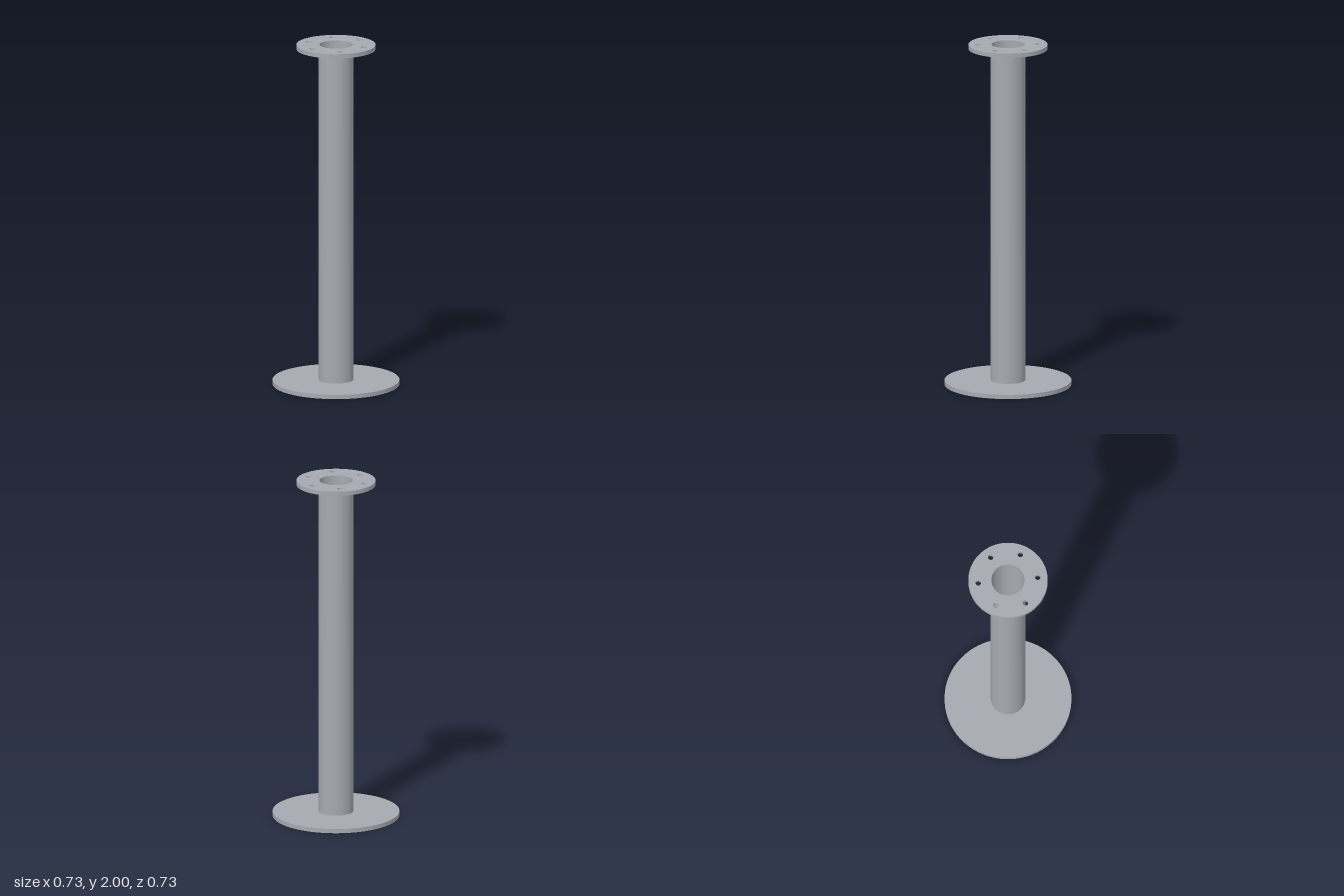
import * as THREE from 'three';
import { toCreasedNormals } from 'three/addons/utils/BufferGeometryUtils.js';

const SEGMENTS = 48;

function circlePath(PathType, x, y, radius) {
  return new PathType().absarc(x, y, radius, 0, Math.PI * 2, false);
}

// Round plate or pipe standing on y, with round holes [x, z, radius] through it
function roundPart(name, radius, y, height, holes, material) {
  const shape = circlePath(THREE.Shape, 0, 0, radius);
  shape.holes = holes.map(([x, z, r]) => circlePath(THREE.Path, x, z, r));
  const extruded = new THREE.ExtrudeGeometry(shape, {
    depth: height, bevelEnabled: false, curveSegments: SEGMENTS,
  });
  extruded.rotateX(-Math.PI / 2);
  const mesh = new THREE.Mesh(toCreasedNormals(extruded, Math.PI / 5), material);
  mesh.name = name;
  mesh.position.y = y;
  return mesh;
}

export function createModel() {
  const steel = new THREE.MeshStandardMaterial({ color: 0xa6aab0 });
  steel.name = 'steel grey';

  const plate = 0.025;
  const bore = [0, 0, 0.095];

  // Six bolt holes around the bore
  const boltHoles = [];
  for (let i = 0; i < 6; i++) {
    const a = (i * Math.PI) / 3;
    boltHoles.push([0.171 * Math.cos(a), 0.171 * Math.sin(a), 0.016]);
  }

  const model = new THREE.Group();
  model.name = 'flangedPedestal';
  model.add(
    roundPart('basePlate', 0.363, 0, plate, [], steel),
    roundPart('pipe', 0.099, plate, 2 - 2 * plate, [bore], steel),
    roundPart('topFlange', 0.227, 2 - plate, plate, [bore, ...boltHoles], steel),
  );
  return model;
}
